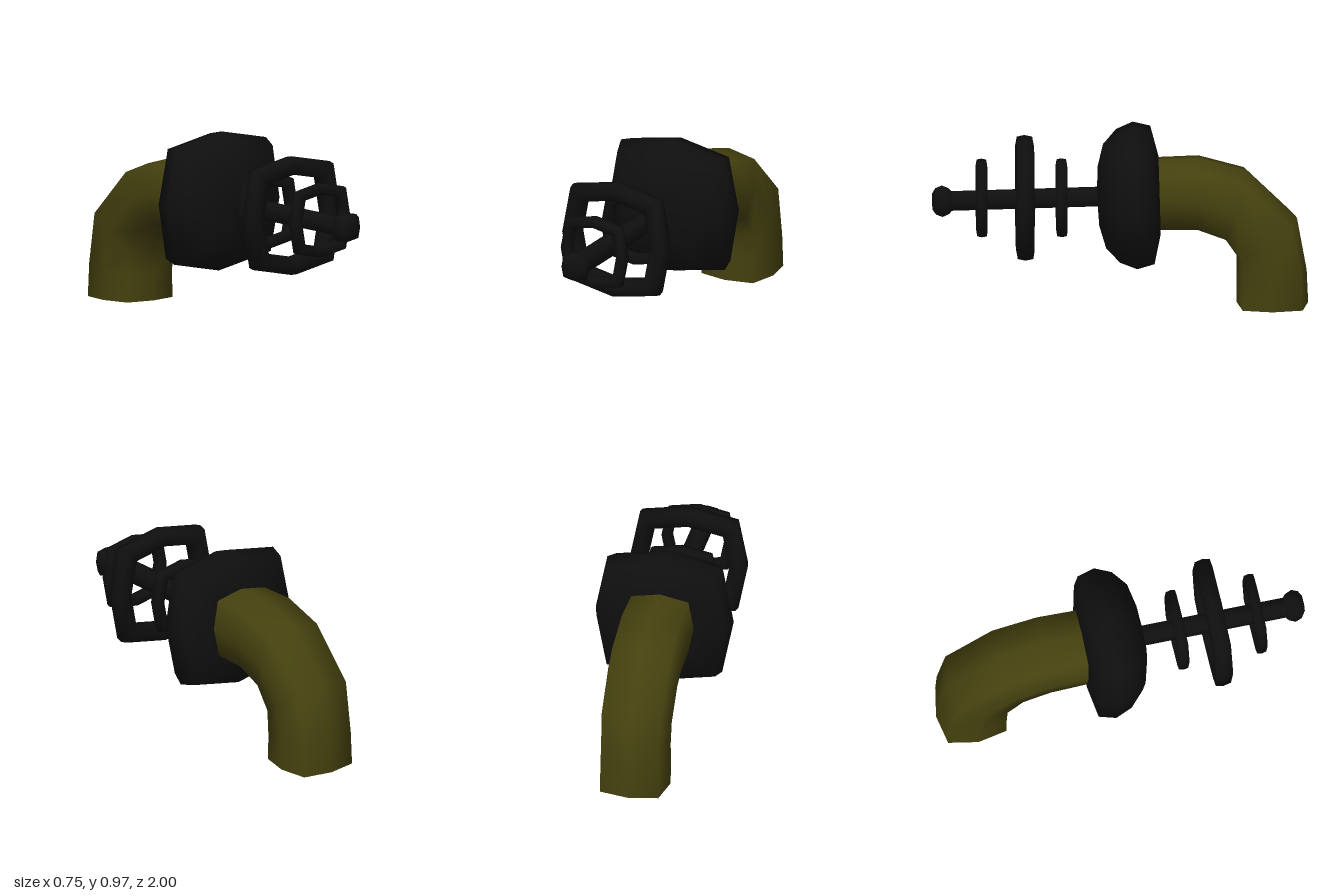
import * as THREE from 'three';

const SIDES = 8;
const CORNER = 1.185; // diagonal points pushed out: a squarish octagon
const bulge = k => (k % 2 ? CORNER : 1);
const angle = k => (k / SIDES) * Math.PI * 2;

// Smooth skin over a list of eight-point sections
function loft(sections, closed = false) {
  const pos = sections.flat().flatMap(p => [p.x, p.y, p.z]);
  const index = [];
  const n = sections.length;
  for (let i = 0; i < (closed ? n : n - 1); i++) {
    for (let k = 0; k < SIDES; k++) {
      const k2 = (k + 1) % SIDES;
      const i2 = (i + 1) % n;
      const a = i * SIDES + k, b = i * SIDES + k2;
      const c = i2 * SIDES + k2, d = i2 * SIDES + k;
      index.push(a, b, c, a, c, d);
    }
  }
  const geo = new THREE.BufferGeometry();
  geo.setAttribute('position', new THREE.Float32BufferAttribute(pos, 3));
  geo.setIndex(index);
  geo.computeVertexNormals();
  return geo;
}

// Section centred at (0, y, z), pitched up from +z by the given degrees
function section(y, z, r, degrees) {
  const t = THREE.MathUtils.degToRad(degrees);
  return Array.from({ length: SIDES }, (_, k) => {
    const u = Math.cos(angle(k)) * r * bulge(k);
    const v = Math.sin(angle(k)) * r * bulge(k);
    return new THREE.Vector3(u, y + v * Math.cos(t), z - v * Math.sin(t));
  });
}

// Solid along the slightly drooping main axis, from [z, radius] pairs
const axisY = z => 0.595 - 0.028 * (z + 0.08);
const axial = profile => loft(profile.map(([z, r]) => section(axisY(z), z, r, -1.6)));

// Squarish ring facing z, with a squarish tube
function ring(radius, tube) {
  const sections = [];
  for (let i = 0; i < SIDES; i++) {
    const row = [];
    for (let k = 0; k < SIDES; k++) {
      const r = (radius + tube * Math.cos(angle(k)) * bulge(k)) * bulge(i);
      row.push(new THREE.Vector3(
        Math.cos(angle(i)) * r,
        Math.sin(angle(i)) * r,
        -tube * Math.sin(angle(k)) * bulge(k)
      ));
    }
    sections.push(row);
  }
  return loft(sections, true);
}

export function createModel() {
  const black = new THREE.MeshStandardMaterial({ color: 0x0f0f10 });
  black.name = 'black';
  const olive = new THREE.MeshStandardMaterial({ color: 0x45410f });
  olive.name = 'olive';

  const model = new THREE.Group();
  model.name = 'model';
  const add = (name, geometry, material) => {
    const mesh = new THREE.Mesh(geometry, material);
    mesh.name = name;
    model.add(mesh);
    return mesh;
  };

  // Bent grip, from its flat foot up and forward into the body
  add('grip', loft([
    section(0, -0.81, 0, 90),
    section(0, -0.81, 0.19, 90),
    section(0, -0.81, 0.19, 90), // doubled for a sharp foot edge
    section(0.16, -0.806, 0.187, 84),
    section(0.365, -0.78, 0.191, 57),
    section(0.548, -0.61, 0.192, 18),
    section(0.609, -0.415, 0.19, 1),
    section(0.605, -0.15, 0.184, 0),
  ]), olive);

  // Broad rounded body
  add('body', axial([
    [-0.21, 0], [-0.21, 0.2], [-0.172, 0.352], [-0.08, 0.375],
    [0.01, 0.34], [0.082, 0.265], [0.115, 0.15], [0.122, 0],
  ]), black);

  // Barrel rod with its end knob
  add('rod', axial([[0.08, 0.05], [0.92, 0.05]]), black);
  add('knob', axial([
    [0.885, 0], [0.89, 0.045], [0.91, 0.066], [0.945, 0.08],
    [0.98, 0.067], [0.998, 0.04], [1, 0],
  ]), black);

  // Rings around the rod
  const rings = [
    ['rearRing', 0.31, 0.17, 0.03],
    ['middleRing', 0.505, 0.27, 0.049],
    ['frontRing', 0.735, 0.17, 0.03],
  ];
  for (const [name, z, radius, tube] of rings) {
    add(name, ring(radius, tube), black).position.set(-0.005, 0.582, z);
  }
  return model;
}
